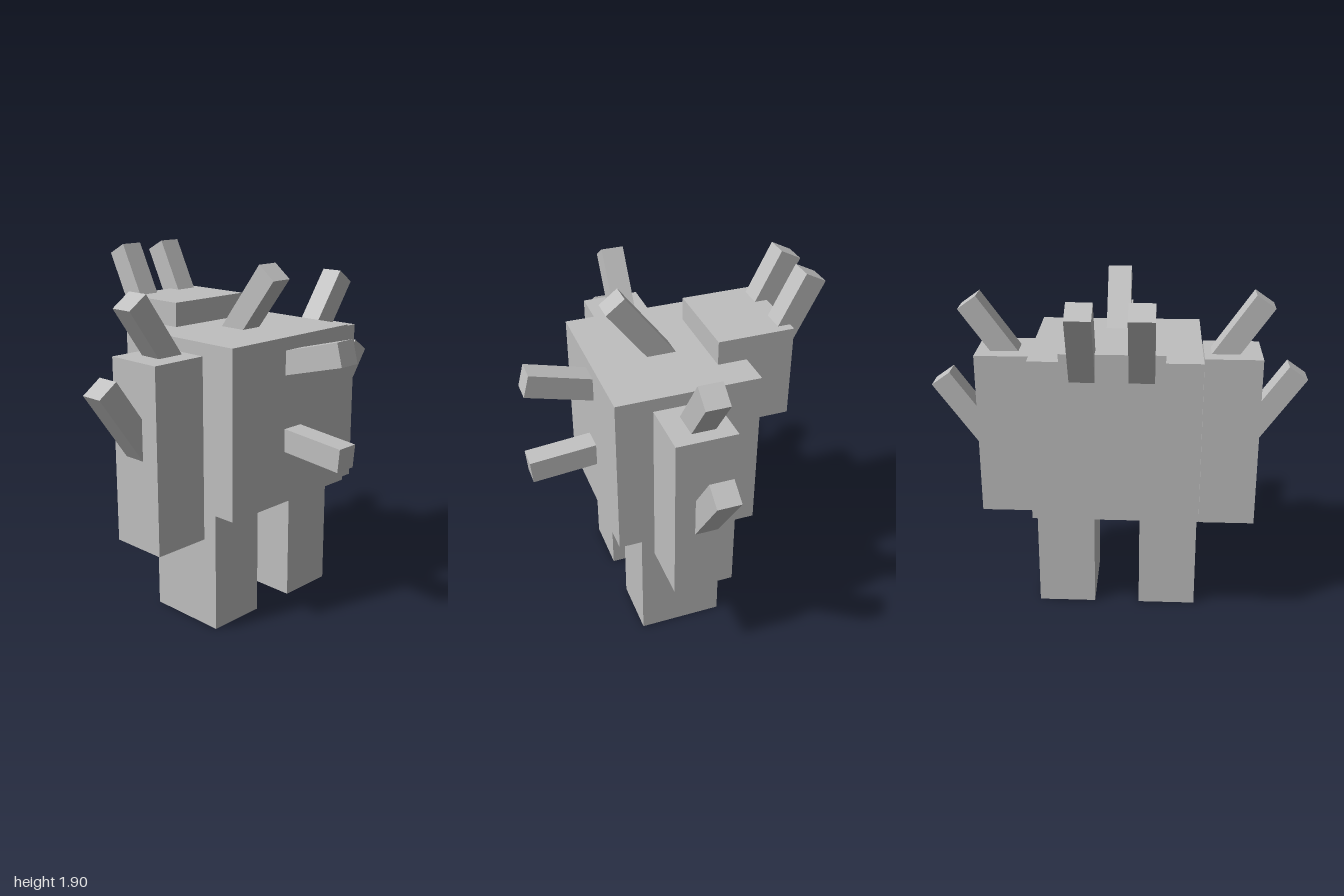
import * as THREE from 'three';

const T = 0.122; // spike thickness

export function createModel() {
  const model = new THREE.Group();
  const grey = new THREE.MeshStandardMaterial({ color: 0xbfbfbf });
  grey.name = 'grey';

  // Box given by its lower and upper limits
  function block(name, [x0, x1], [y0, y1], [z0, z1]) {
    const mesh = new THREE.Mesh(new THREE.BoxGeometry(x1 - x0, y1 - y0, z1 - z0), grey);
    mesh.position.set((x0 + x1) / 2, (y0 + y1) / 2, (z0 + z1) / 2);
    mesh.name = name;
    model.add(mesh);
  }

  // Square bar whose end sits at tip, turned from upright about x or z
  function spike(name, tip, length, rx, rz) {
    const geometry = new THREE.BoxGeometry(T, length, T).translate(0, -length / 2, 0);
    const mesh = new THREE.Mesh(geometry, grey);
    mesh.position.set(...tip);
    mesh.rotation.set(THREE.MathUtils.degToRad(rx), 0, THREE.MathUtils.degToRad(rz));
    mesh.name = name;
    model.add(mesh);
  }

  // Body, head and limbs
  block('body', [-0.438, 0.434], [0.63, 1.503], [-0.335, 0.415]);
  block('head', [-0.25, 0.248], [1.13, 1.63], [-0.587, -0.18]);
  block('rightLeg', [-0.438, -0.126], [0, 0.63], [-0.146, 0.295]);
  block('leftLeg', [0.122, 0.434], [0, 0.63], [-0.146, 0.295]);
  block('rightArm', [-0.755, -0.452], [0.488, 1.44], [-0.083, 0.228]);
  block('leftArm', [0.443, 0.746], [0.54, 1.44], [-0.083, 0.228]);

  // Horns leaning back from the head
  for (const x of [-0.14, 0.14]) spike('horn', [x, 1.868, -0.71], 0.5, -27, 0);

  // Spikes on the body
  spike('topSpike', [-0.003, 1.808, 0.283], 0.5, 37.5, 0);
  spike('upperFrontSpike', [0.003, 1.463, 0.75], 0.5, 75, 0);
  spike('lowerFrontSpike', [0.003, 0.938, 0.765], 0.5, 95, 0);

  // Spikes on the arms
  spike('rightShoulderSpike', [-0.759, 1.722, 0.063], 0.42, 0, 34.5);
  spike('rightArmSpike', [-0.95, 1.34, 0.063], 0.45, 0, 35);
  spike('leftShoulderSpike', [0.783, 1.7, 0.063], 0.42, 0, -35.5);
  spike('leftArmSpike', [0.948, 1.28, 0.063], 0.45, 0, -35.5);

  return model;
}
